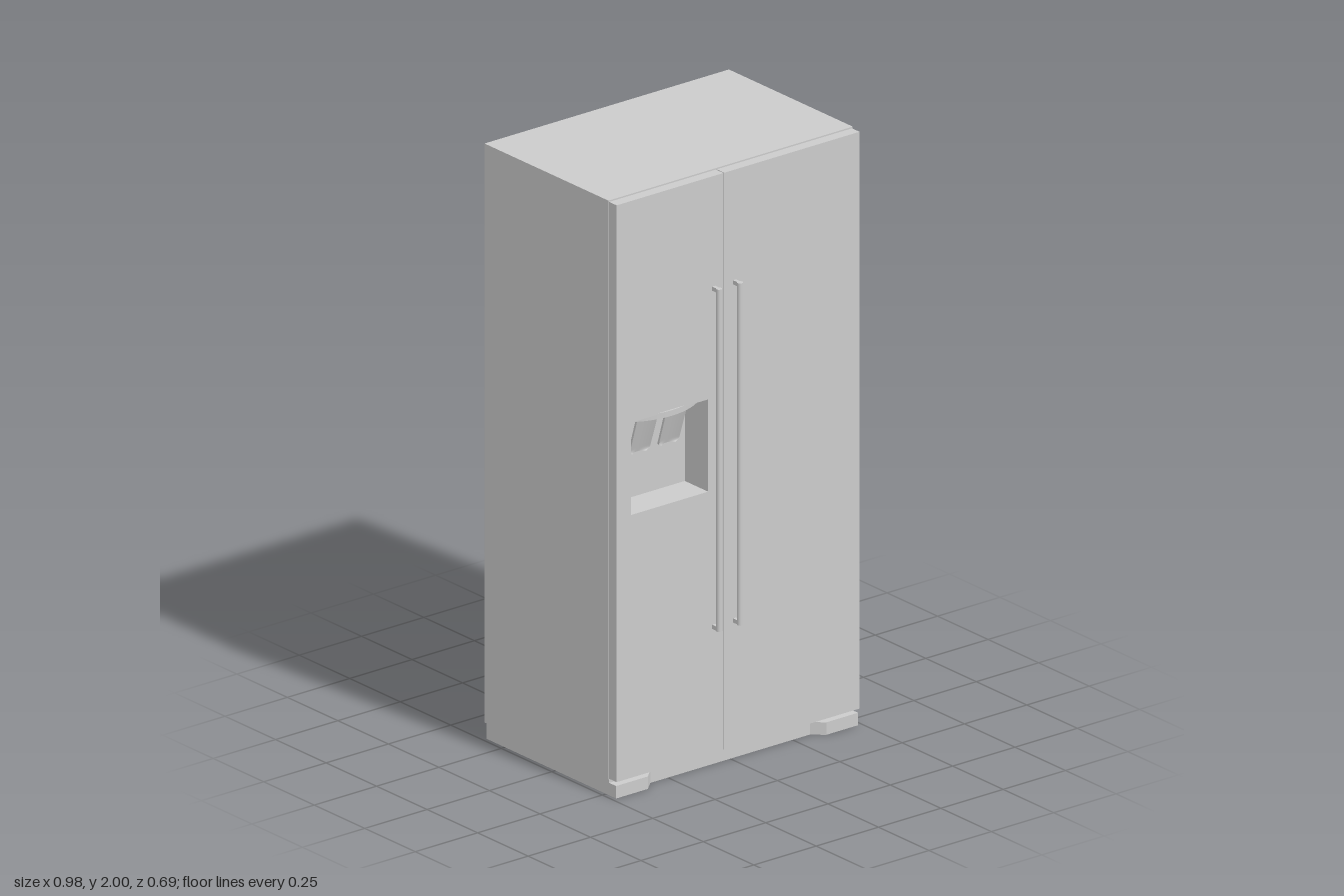
import * as THREE from 'three';

const material = new THREE.MeshStandardMaterial({ color: 0xcccccc, side: THREE.DoubleSide });

function add(group, name, geometry, x = 0, y = 0, z = 0) {
  const mesh = new THREE.Mesh(geometry, material);
  mesh.name = name;
  mesh.position.set(x, y, z);
  group.add(mesh);
  return mesh;
}

const polygon = (points) => points.map(([x, y]) => new THREE.Vector2(x, y));
const rect = (x0, x1, y0, y1) => polygon([[x0, y0], [x1, y0], [x1, y1], [x0, y1]]);

function slab(outline, depth, hole) {
  const shape = new THREE.Shape(outline);
  if (hole) shape.holes.push(new THREE.Path(hole));
  return new THREE.ExtrudeGeometry(shape, { depth, bevelEnabled: false, curveSegments: 24 });
}

// Plan outlines are drawn as (x, -z) and extruded upward
const upright = (geometry) => geometry.rotateX(-Math.PI / 2);

// Plinth outline with two forward feet, moved inward by t
function plinthOutline(t) {
  const half = [[0.485 - t, 0.342 - t], [0.485 - t, -0.3 + t], [0.358 + t, -0.3 + t], [0.32 + t, -0.266 + t]];
  return polygon([...half, ...half.map(([x, z]) => [-x, z]).reverse()]);
}

function makeHandle(x) {
  const handle = new THREE.Group();
  handle.name = 'handle';
  add(handle, 'handleBar', new THREE.CylinderGeometry(0.01, 0.01, 1.15, 20), x, 1.05, 0.332);
  for (const y of [0.482, 1.618]) {
    add(handle, 'handlePost', new THREE.BoxGeometry(0.012, 0.014, 0.032), x, y, 0.318);
  }
  return handle;
}

// Bowed plate with rounded lower corners, leaning back at the bottom
function paddleGeometry() {
  const w = 0.042, h = 0.14;
  const geometry = new THREE.BoxGeometry(2 * w, h, 0.008, 12, 20, 1);
  const p = geometry.attributes.position;
  for (let i = 0; i < p.count; i++) {
    const down = 0.5 - p.getY(i) / h;
    const u = p.getX(i) / w;
    const corner = Math.max(0, (down - 0.9) / 0.1);
    const width = w * (1 - 0.04 * down) - 0.012 * (1 - Math.sqrt(1 - Math.min(1, corner) ** 2));
    p.setX(i, u * width);
    p.setZ(i, p.getZ(i) + 0.012 * u * u - 0.045 * down);
  }
  geometry.computeVertexNormals();
  return geometry;
}

export function createModel() {
  const model = new THREE.Group();
  model.name = 'refrigerator';
  const recess = () => rect(-0.43, -0.12, 0.94, 1.25);

  // Cabinet: solid rear and a front layer with the dispenser pocket
  add(model, 'cabinet', new THREE.BoxGeometry(0.98, 1.945, 0.535), 0, 1.0275, -0.0775);
  add(model, 'cabinetFront', slab(rect(-0.49, 0.49, 0.055, 2), 0.078, recess()), 0, 0, 0.19);

  // Doors
  add(model, 'freezerDoor', slab(rect(-0.487, -0.0585, 0.057, 1.995), 0.037, recess()), 0, 0, 0.268);
  add(model, 'fridgeDoor', slab(rect(-0.0555, 0.487, 0.057, 1.995), 0.037), 0, 0, 0.268);
  for (const x of [-0.098, -0.014]) model.add(makeHandle(x));

  // Dispenser: curved visor and two paddles
  const visor = new THREE.Shape();
  const r = 0.25, a = Math.asin(0.135 / r);
  visor.moveTo(-0.135, -0.19);
  visor.lineTo(0.135, -0.19);
  visor.absarc(0, -0.311 + r, r, -Math.PI / 2 + a, -Math.PI / 2 - a, true);
  visor.closePath();
  add(model, 'dispenserVisor', upright(new THREE.ExtrudeGeometry(visor, { depth: 0.019, bevelEnabled: false, curveSegments: 32 })), -0.27, 1.235, 0);
  for (const x of [-0.325, -0.208]) add(model, 'dispenserPaddle', paddleGeometry(), x, 1.166, 0.246);

  // Hollow plinth, open underneath
  add(model, 'plinth', upright(slab(plinthOutline(0), 0.042, plinthOutline(0.006))));
  add(model, 'plinthRim', upright(slab(rect(-0.485, 0.485, -0.266, 0.342), 0.013, rect(-0.479, 0.479, -0.26, 0.336))), 0, 0.042, 0);
  for (const s of [-1, 1]) {
    const cap = polygon([[0.485 * s, -0.26], [0.485 * s, -0.3], [0.358 * s, -0.3], [0.32 * s, -0.26]]);
    add(model, 'footCap', upright(slab(cap, 0.004)), 0, 0.038, 0);
  }
  return model;
}
